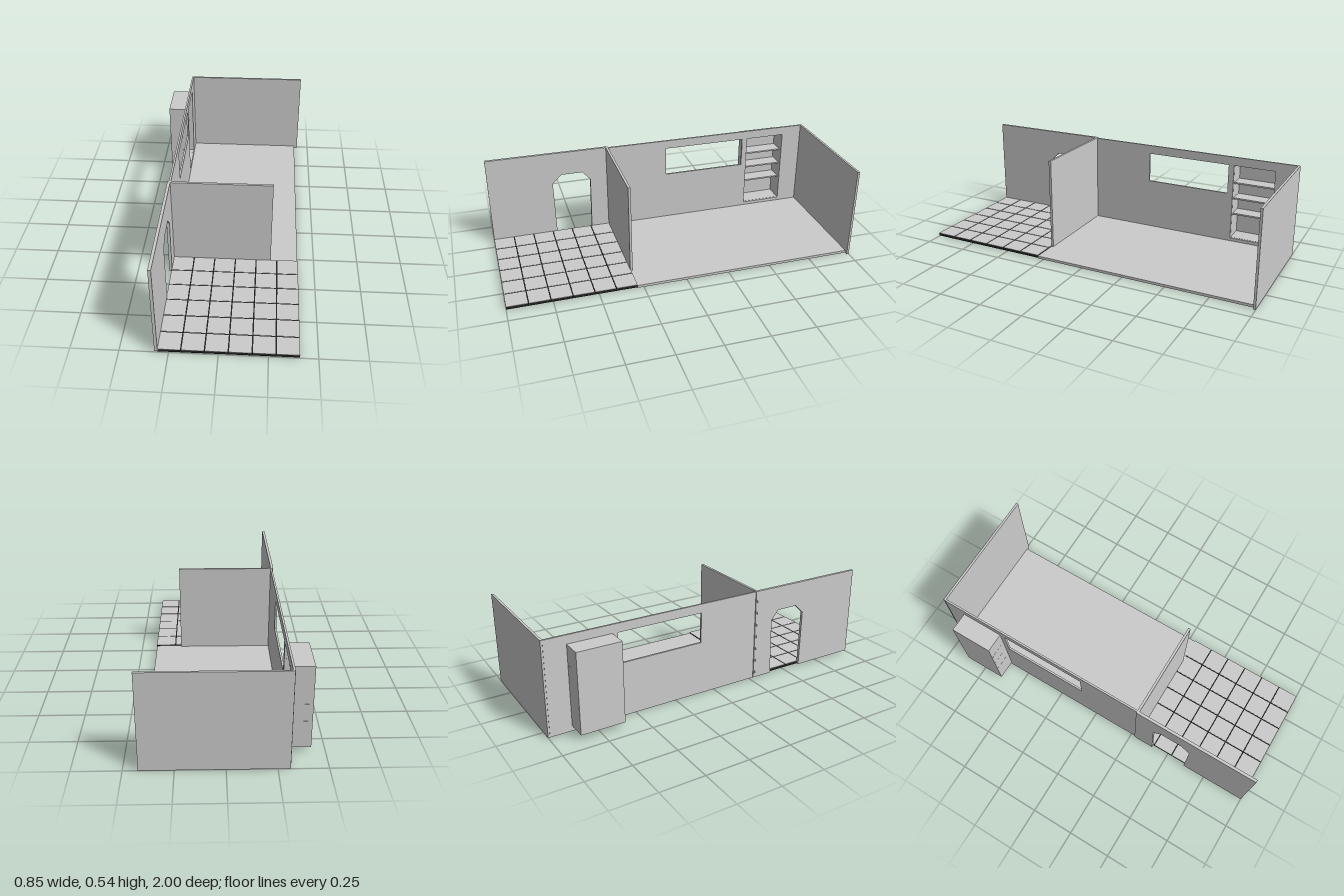
import * as THREE from 'three';

const grey = new THREE.MeshStandardMaterial({ color: 0xcccccc });
const dark = new THREE.MeshStandardMaterial({ color: 0x222222 });

// Box given by its minimum and maximum corners
function box(parent, name, [x0, y0, z0], [x1, y1, z1], material = grey) {
  const mesh = new THREE.Mesh(new THREE.BoxGeometry(x1 - x0, y1 - y0, z1 - z0), material);
  mesh.position.set((x0 + x1) / 2, (y0 + y1) / 2, (z0 + z1) / 2);
  mesh.name = name;
  parent.add(mesh);
  return mesh;
}

const points = (list) => list.map(([z, y]) => new THREE.Vector2(z, y));
const rect = (z0, y0, z1, y1) => [[z0, y0], [z1, y0], [z1, y1], [z0, y1]];

// Side wall drawn in the z-y plane and extruded along x
function sideWall(parent, name, outline, holes, x0, x1) {
  const shape = new THREE.Shape(points(outline));
  for (const hole of holes) shape.holes.push(new THREE.Path(points(hole)));
  const geometry = new THREE.ExtrudeGeometry(shape, { depth: x1 - x0, bevelEnabled: false });
  geometry.rotateY(-Math.PI / 2).translate(x1, 0, 0);
  const mesh = new THREE.Mesh(geometry, grey);
  mesh.name = name;
  parent.add(mesh);
}

export function createModel() {
  const room = new THREE.Group();
  room.name = 'room';

  // Main floor and plain walls
  box(room, 'mainFloor', [-0.312, 0, -0.99], [0.405, 0.015, 0.286]);
  box(room, 'backWall', [-0.312, 0, -1], [0.425, 0.538, -0.987]);
  box(room, 'partitionWall', [-0.32, 0.005, 0.275], [0.252, 0.541, 0.289]);

  // Long side wall with a window and an opening for the shelf niche
  sideWall(room, 'longSideWall', rect(-0.99, 0.002, 0.28, 0.538),
    [rect(-0.59, 0.312, -0.088, 0.487), rect(-0.865, 0.034, -0.622, 0.487)], -0.314, -0.303);

  // Entrance wall with a chamfered doorway
  sideWall(room, 'entranceWall', [
    [0.285, 0.005], [0.397, 0.005], [0.391, 0.345], [0.438, 0.398], [0.565, 0.398],
    [0.62, 0.345], [0.614, 0.005], [1, 0.005], [1, 0.541], [0.285, 0.541],
  ], [], -0.321, -0.305);

  // Shelf niche projecting outside the wall
  const niche = new THREE.Group();
  niche.name = 'shelfNiche';
  room.add(niche);
  const t = 0.003, x0 = -0.426, x1 = -0.313, y0 = 0.032, y1 = 0.489, z0 = -0.868, z1 = -0.62;
  box(niche, 'nicheBack', [x0, y0, z0], [x0 + t, y1, z1]);
  box(niche, 'nicheBottom', [x0 + t, y0, z0], [x1, y0 + t, z1]);
  box(niche, 'nicheTop', [x0 + t, y1 - t, z0], [x1, y1, z1]);
  box(niche, 'nicheSide', [x0 + t, y0 + t, z0], [x1, y1 - t, z0 + t]);
  box(niche, 'nicheSide', [x0 + t, y0 + t, z1 - t], [x1, y1 - t, z1]);
  for (const y of [0.175, 0.272, 0.368])
    box(niche, 'shelf', [-0.418, y, z0 - 0.0005], [-0.33, y + 0.009, z1 + 0.0005]);

  // Tiled entrance floor: dark grout slab with a grid of tiles
  const tiled = new THREE.Group();
  tiled.name = 'tiledFloor';
  room.add(tiled);
  box(tiled, 'groutSlab', [-0.307, 0.005, 0.286], [0.407, 0.0195, 1], dark);
  const pitch = 0.119, gap = 0.007;
  for (let i = 0; i < 6; i++) {
    for (let j = 0; j < 6; j++) {
      const x = -0.307 + i * pitch, z = 0.286 + j * pitch;
      box(tiled, 'tile',
        [x + (i ? gap / 2 : 0), 0.0195, z + (j ? gap / 2 : 0)],
        [x + pitch - (i < 5 ? gap / 2 : 0), 0.0215, z + pitch - (j < 5 ? gap / 2 : 0)]);
    }
  }
  return room;
}
